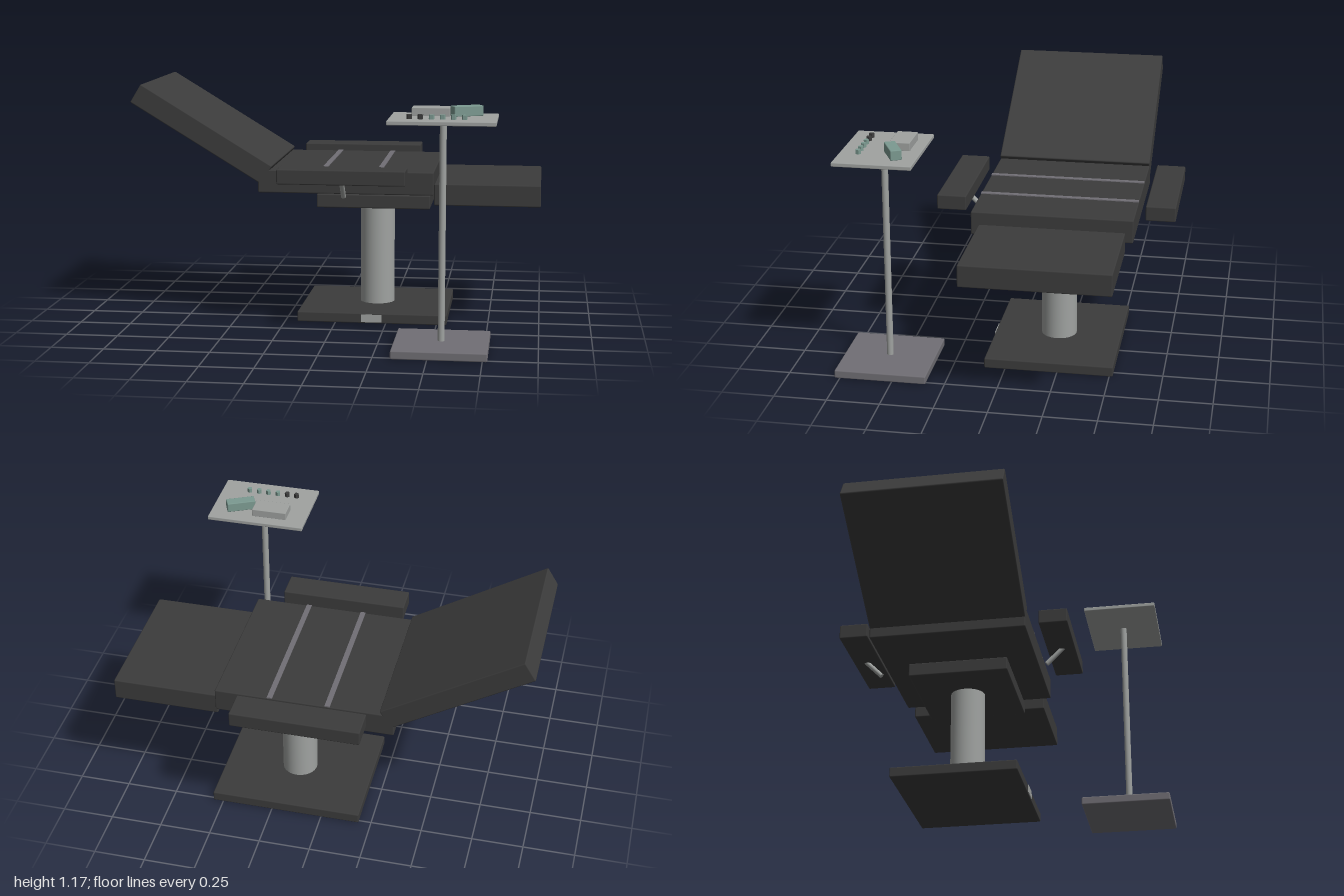
import * as THREE from 'three';
import { RoundedBoxGeometry } from 'three/addons/geometries/RoundedBoxGeometry.js';

const material = (name, color) => {
  const m = new THREE.MeshStandardMaterial({ color });
  m.name = name;
  return m;
};

export function createModel() {
  const upholstery = material('dark upholstery', 0x3c3c3c);
  const steel = material('brushed steel', 0xa0a3a1);
  const greyMetal = material('grey metal', 0x716f75);
  const teal = material('teal plastic', 0x7c9a91);

  const model = new THREE.Group();
  model.name = 'recliningTreatmentChair';
  const MID_Z = -0.21; // chair centre line

  const add = (parent, name, geometry, mat, x, y, z) => {
    const mesh = new THREE.Mesh(geometry, mat);
    mesh.name = name;
    mesh.position.set(x, y, z);
    parent.add(mesh);
    return mesh;
  };
  // Softly bevelled box given by its extents
  const slab = (parent, name, mat, [x0, x1], [y0, y1], [z0, z1], bevel = 0.006) =>
    add(parent, name, new RoundedBoxGeometry(x1 - x0, y1 - y0, z1 - z0, 1, bevel), mat,
      (x0 + x1) / 2, (y0 + y1) / 2, (z0 + z1) / 2);
  // Cylinder between two points
  const rod = (parent, name, mat, a, b, radius, sides) => {
    const dir = b.clone().sub(a);
    const mid = a.clone().add(b).multiplyScalar(0.5);
    const mesh = add(parent, name, new THREE.CylinderGeometry(radius, radius, dir.length(), sides),
      mat, mid.x, mid.y, mid.z);
    mesh.quaternion.setFromUnitVectors(new THREE.Vector3(0, 1, 0), dir.normalize());
    return mesh;
  };

  // Chair
  const chair = new THREE.Group();
  chair.name = 'chair';
  model.add(chair);
  slab(chair, 'basePlate', upholstery, [-0.19, 0.55], [0, 0.05], [-0.517, 0.1]);
  add(chair, 'footPedal', new THREE.BoxGeometry(0.1, 0.038, 0.008), steel, 0.18, 0.025, 0.1);
  rod(chair, 'column', steel, new THREE.Vector3(0.18, 0.045, MID_Z),
    new THREE.Vector3(0.18, 0.57, MID_Z), 0.086, 32);
  slab(chair, 'seatSupport', upholstery, [-0.1, 0.46], [0.565, 0.632], [-0.457, 0.037]);
  slab(chair, 'seat', upholstery, [-0.37, 0.485], [0.655, 0.767], [-0.592, 0.17]);
  slab(chair, 'legRest', upholstery, [0.485, 0.998], [0.602, 0.707], [-0.555, 0.133]);

  // Tilted back rest
  const back = add(chair, 'backRest', new RoundedBoxGeometry(0.755, 0.104, 0.762, 1, 0.006),
    upholstery, -0.65, 0.936, -0.211);
  back.rotation.z = -0.546;

  // Thin straps across the seat
  for (const x of [-0.055, 0.22]) {
    add(chair, 'seatStrap', new THREE.BoxGeometry(0.025, 0.006, 0.758), greyMetal, x, 0.768, -0.211);
  }

  // Mirrored arm rests on slanted struts
  for (const side of [-1, 1]) {
    const z = (d) => MID_Z + side * d;
    const span = [z(0.425), z(0.566)].sort((a, b) => a - b);
    slab(chair, 'armRest', upholstery, [-0.25, 0.363], [0.725, 0.797], span);
    rod(chair, 'armStrut', steel, new THREE.Vector3(0.055, 0.733, z(0.505)),
      new THREE.Vector3(0.055, 0.65, z(0.422)), 0.012, 12);
  }

  // Side table
  const table = new THREE.Group();
  table.name = 'instrumentTable';
  model.add(table);
  slab(table, 'tableBase', greyMetal, [0.333, 0.773], [0, 0.04], [0.337, 0.775]);
  rod(table, 'tablePole', steel, new THREE.Vector3(0.552, 0.035, 0.557),
    new THREE.Vector3(0.552, 1.065, 0.557), 0.016, 16);
  slab(table, 'tray', steel, [0.308, 0.797], [1.06, 1.08], [0.375, 0.742], 0.004);
  slab(table, 'instrumentBox', steel, [0.405, 0.58], [1.078, 1.118], [0.43, 0.527], 0.003);
  const tealBox = add(table, 'tealCase', new RoundedBoxGeometry(0.143, 0.048, 0.053, 1, 0.004),
    teal, 0.655, 1.103, 0.49);
  tealBox.rotation.y = 0.45;

  // Row of five-sided vials
  for (let i = 0; i < 6; i++) {
    const geometry = new THREE.CylinderGeometry(0.013, 0.013, 0.022, 5).toNonIndexed();
    geometry.computeVertexNormals();
    const vial = add(table, 'vial', geometry, i < 2 ? upholstery : teal, 0.405 + i * 0.0495, 1.09, 0.652);
    vial.rotation.y = Math.PI;
  }

  return model;
}
